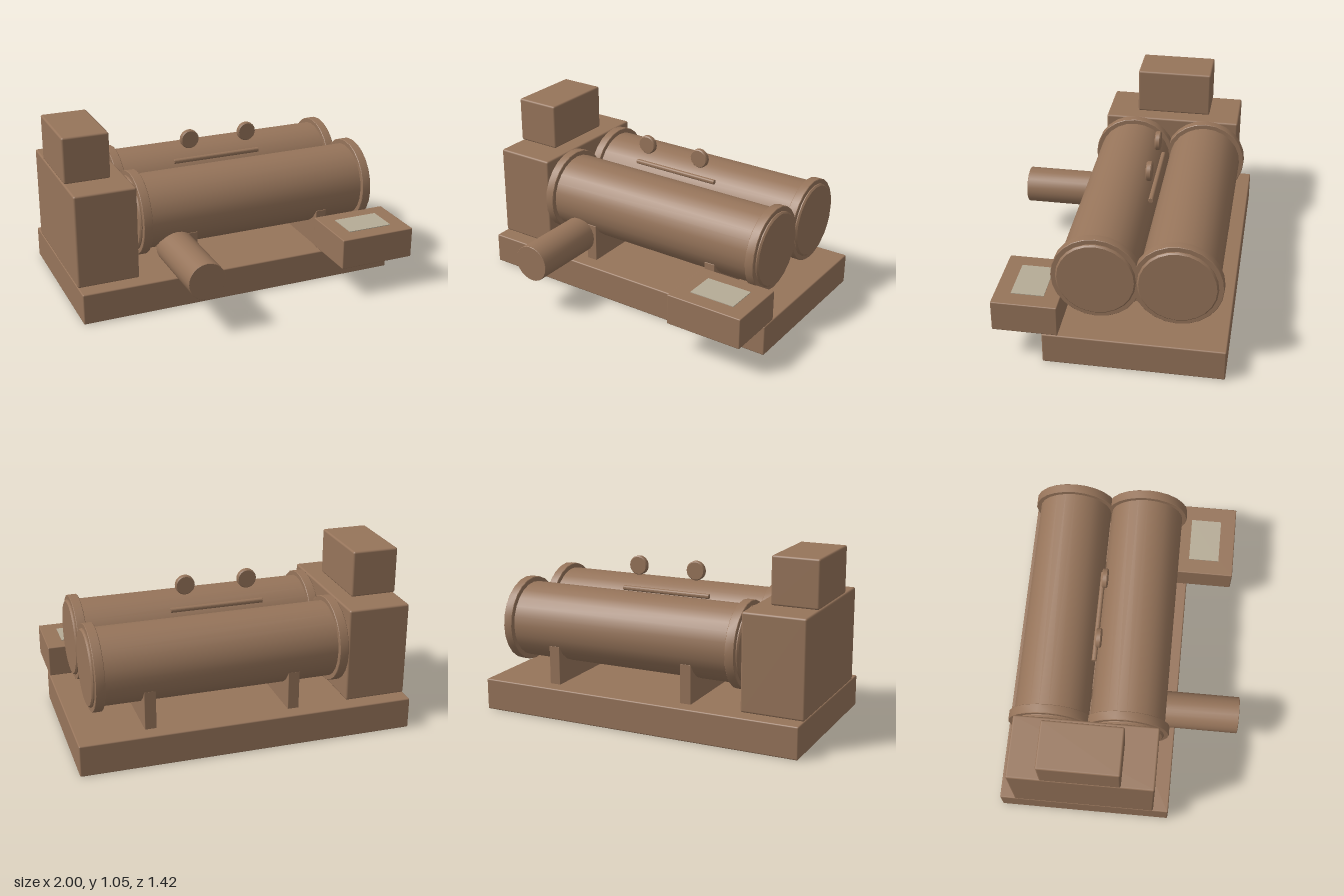
import * as THREE from 'three';
import { toCreasedNormals } from 'three/addons/utils/BufferGeometryUtils.js';
import { RoundedBoxGeometry } from 'three/addons/geometries/RoundedBoxGeometry.js';

export function createModel() {
  const group = new THREE.Group();
  const brown = new THREE.MeshStandardMaterial({ color: 0x96745a });
  brown.name = 'brown paint';
  const pale = new THREE.MeshStandardMaterial({ color: 0xb5ab96 });
  pale.name = 'pale panel';

  function add(name, geometry, material = brown) {
    const mesh = new THREE.Mesh(geometry, material);
    mesh.name = name;
    group.add(mesh);
    return mesh;
  }

  // Box given by its limits on each axis, with slightly eased edges
  function box(name, [x0, x1], [y0, y1], [z0, z1], bevel = 0.008) {
    const mesh = add(name, new RoundedBoxGeometry(x1 - x0, y1 - y0, z1 - z0, 2, bevel));
    mesh.position.set((x0 + x1) / 2, (y0 + y1) / 2, (z0 + z1) / 2);
    return mesh;
  }

  // Closed cylinder with chamfered rims, along 'x' or 'z'
  function drum(name, axis, radius, from, to, a, b, chamfer, sides = 24) {
    const h = (to - from) / 2;
    const profile = [
      [0, -h], [radius - chamfer, -h], [radius, -h + chamfer],
      [radius, h - chamfer], [radius - chamfer, h], [0, h],
    ].map(([r, y]) => new THREE.Vector2(r, y));
    const geometry = toCreasedNormals(new THREE.LatheGeometry(profile, sides), 0.5);
    if (axis === 'x') geometry.rotateZ(-Math.PI / 2);
    else geometry.rotateX(Math.PI / 2);
    const mesh = add(name, geometry);
    const mid = (from + to) / 2;
    if (axis === 'x') mesh.position.set(mid, a, b);
    else mesh.position.set(a, b, mid);
    return mesh;
  }

  // Skid and the boxes at its left end
  box('base', [-1, 1], [0, 0.19], [-0.71, 0.33]);
  box('endHousing', [-1, -0.625], [0.19, 0.762], [-0.62, 0.237], 0.012);
  box('topCabinet', [-1, -0.718], [0.765, 1.047], [-0.427, 0.043], 0.012);

  // Twin vessels with end flanges
  for (const z of [0.037, -0.42]) {
    drum('vessel', 'x', 0.226, -0.62, 0.9, 0.525, z, 0.009);
    for (const x of [-0.605, 0.83]) drum('flange', 'x', 0.255, x, x + 0.055, 0.525, z, 0.003);
  }

  // Saddles under the vessels
  for (const x of [-0.29, 0.57]) {
    box('saddle', [x - 0.034, x + 0.034], [0.185, 0.423], [-0.62, 0.24], 0.003);
  }

  // Outlet pipe
  drum('outletPipe', 'z', 0.112, 0.18, 0.71, -0.385, 0.335, 0.002);

  // Control box with its panel
  box('controlBox', [0.525, 1], [0.193, 0.381], [0.237, 0.615], 0.006);
  const panel = add('controlPanel', new THREE.BoxGeometry(0.28, 0.008, 0.19), pale);
  panel.position.set(0.76, 0.381, 0.425);

  // Pressure line between the vessels and two gauges above it
  drum('pressureLine', 'x', 0.015, -0.24, 0.33, 0.716, -0.189, 0.001, 16);
  for (const x of [-0.145, 0.235]) drum('gauge', 'z', 0.058, -0.184, -0.15, x, 0.86, 0.006);

  return group;
}
